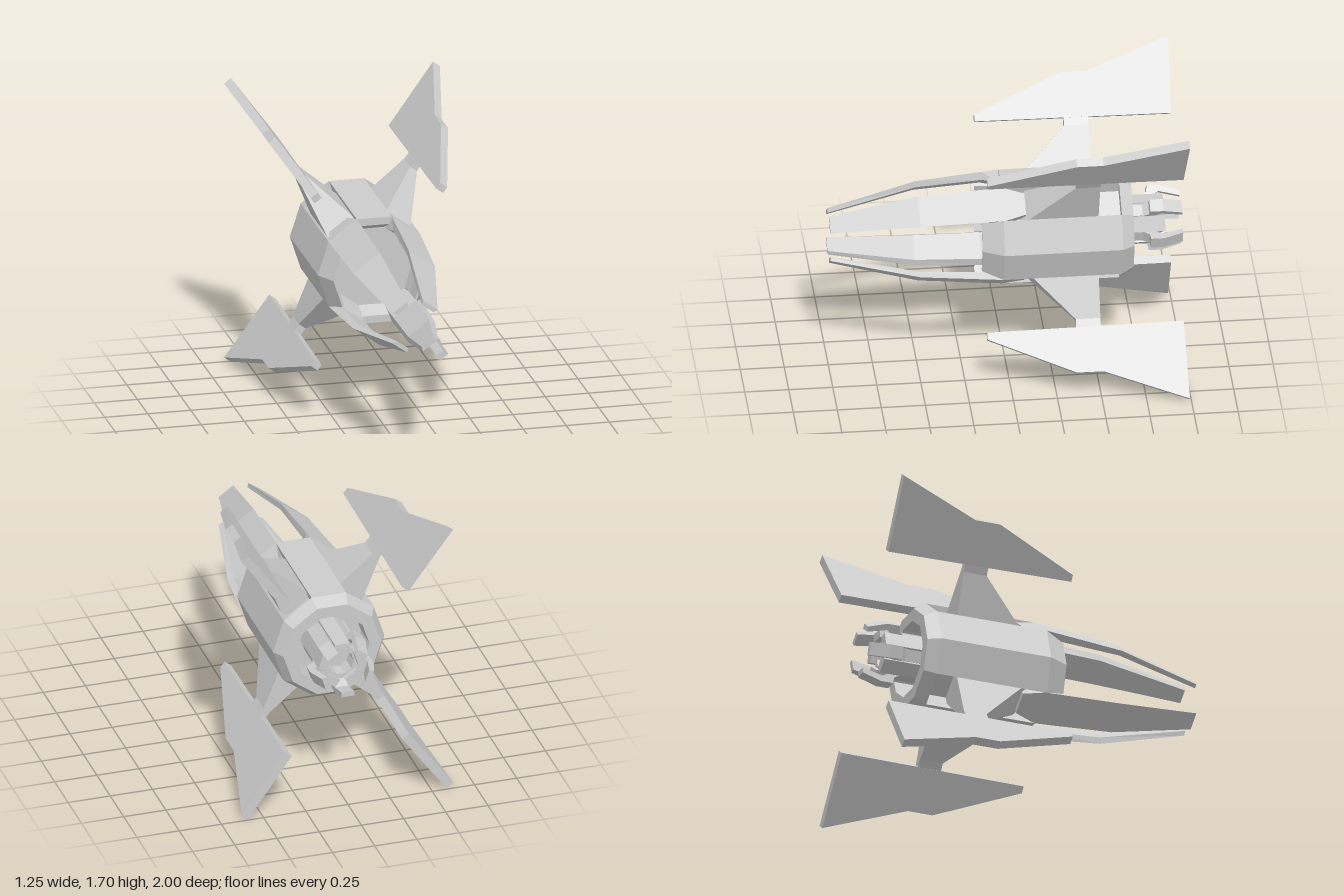
import * as THREE from 'three';

const DEG = Math.PI / 180;
const AXIS_Y = 0.86; // height of the hull's long axis
const material = new THREE.MeshStandardMaterial({ color: 0xcccccc, flatShading: true });

// Closed skin through rings of [x, y, z]; rings are counter-clockwise and ordered by rising z
function loft(rings) {
  const n = rings[0].length;
  const index = [];
  for (let s = 0; s < rings.length - 1; s++) {
    for (let i = 0; i < n; i++) {
      const j = (i + 1) % n;
      const a = s * n + i, b = s * n + j, c = b + n, d = a + n;
      index.push(a, b, c, a, c, d);
    }
  }
  const cap = (ring) => THREE.ShapeUtils.triangulateShape(ring.map((p) => new THREE.Vector2(p[0], p[1])), []);
  const last = (rings.length - 1) * n;
  for (const [a, b, c] of cap(rings[0])) index.push(a, c, b);
  for (const [a, b, c] of cap(rings[rings.length - 1])) index.push(last + a, last + b, last + c);
  const geo = new THREE.BufferGeometry();
  geo.setAttribute('position', new THREE.Float32BufferAttribute(rings.flat(2), 3));
  geo.setIndex(index);
  geo.computeVertexNormals();
  return geo;
}

// Ten-sided turned part about the z axis; profile of [radius, z]
function turned(profile) {
  const geo = new THREE.LatheGeometry(profile.map(([r, z]) => new THREE.Vector2(r, z)), 10, 18 * DEG);
  return geo.rotateX(Math.PI / 2);
}

// Flat plate with an outline of [z, radius], standing in the y-z plane
function plate(outline, thickness) {
  const shape = new THREE.Shape(outline.map(([z, r]) => new THREE.Vector2(z, r)));
  const geo = new THREE.ExtrudeGeometry(shape, { depth: thickness, bevelEnabled: false });
  return geo.translate(0, 0, -thickness / 2).rotateY(-Math.PI / 2);
}

// Hull panel spanning the given angles; stations of [z, outer radius, inner radius]
function panel(angles, stations) {
  const at = (a, r, z) => [r * Math.cos(a * DEG), r * Math.sin(a * DEG), z];
  return loft(stations.map(([z, ro, ri]) => [
    ...angles.map((a) => at(a, ro, z)),
    ...[...angles].reverse().map((a) => at(a, ri, z)),
  ]));
}

export function createModel() {
  const model = new THREE.Group();
  const ship = new THREE.Group();
  ship.name = 'ship';
  ship.position.y = AXIS_Y;
  model.add(ship);

  const add = (name, geometry, angle = 90) => {
    const mesh = new THREE.Mesh(geometry, material);
    mesh.name = name;
    mesh.rotation.z = (angle - 90) * DEG; // parts are built pointing up, then swung round the axis
    ship.add(mesh);
  };

  // Inner core and rear collar
  add('core', turned([[0, -0.55], [0.22, -0.55], [0.22, -0.65], [0.25, -0.65], [0.25, -0.05], [0, -0.05]]));
  add('rearCollar', turned([[0.22, -0.64], [0.22, -0.71], [0.29, -0.71], [0.33, -0.64], [0.22, -0.64]]));

  // Side pods, and narrow panels above and below
  const pod = panel([-36, 0, 36], [[-0.64, 0.33, 0.24], [-0.05, 0.33, 0.24], [0.03, 0.33, 0.252], [0.15, 0.268, 0.255]]);
  const strip = panel([72, 90, 108].filter((a) => a !== 90), [[-0.64, 0.33, 0.24], [-0.05, 0.33, 0.24], [0.025, 0.33, 0.285]]);
  for (const turn of [0, 180]) {
    add('sidePod', pod, 90 + turn);
    add('spinePanel', strip, 90 + turn);
  }

  // Forward prongs: [z, half width, outer radius, inner radius]
  const prong = loft([
    [-0.1, 0.065, 0.303, 0.22],
    [0.02, 0.102, 0.314, 0.24],
    [0.12, 0.101, 0.306, 0.262],
    [0.5, 0.095, 0.273, 0.24],
    [1.0, 0.053, 0.15, 0.125],
  ].map(([z, w, ro, ri]) => [[-0.8 * w, ri, z], [0.8 * w, ri, z], [w, ro, z], [-w, ro, z]]));

  // Wing struts: [radius, half thickness, leading edge]
  const strut = loft([
    [0.23, 0.105, 0.06],
    [0.55, 0.025, 0.37],
    [0.61, 0.022, 0.37],
  ].map(([r, w, lead]) => [[-w, lead, r], [w, lead, r], [w, 0.51, r], [-w, 0.51, r]])).rotateX(-Math.PI / 2);

  const wing = plate([[0.135, 0.6], [0.135, 0.64], [-0.36, 0.853], [-0.51, 0.853], [-0.99, 1.033], [-0.98, 0.59]], 0.05);

  for (const angle of [54, 126, 234, 306]) {
    add('prong', prong, angle);
    add('wingStrut', strut, angle);
    add('wing', wing, angle);
  }

  // Engine: hollow nozzle with alternating ribs and hooked petals
  add('nozzle', turned([[0, -0.78], [0.075, -0.78], [0.075, -0.87], [0.105, -0.87], [0.105, -0.54]]));
  const rib = new THREE.BoxGeometry(0.09, 0.05, 0.36).translate(0, 0.11, -0.72);
  const arm = new THREE.BoxGeometry(0.07, 0.05, 0.28).translate(0, 0.105, -0.68);
  const petal = plate([[-0.75, 0.115], [-0.81, 0.15], [-0.815, 0.185], [-0.89, 0.185], [-1, 0.15], [-1, 0.12], [-0.88, 0.15], [-0.82, 0.115]], 0.075);
  for (let i = 0; i < 5; i++) {
    add('nozzleRib', rib, 90 + i * 72);
    add('petalArm', arm, 54 + i * 72);
    add('nozzlePetal', petal, 54 + i * 72);
  }
  return model;
}
